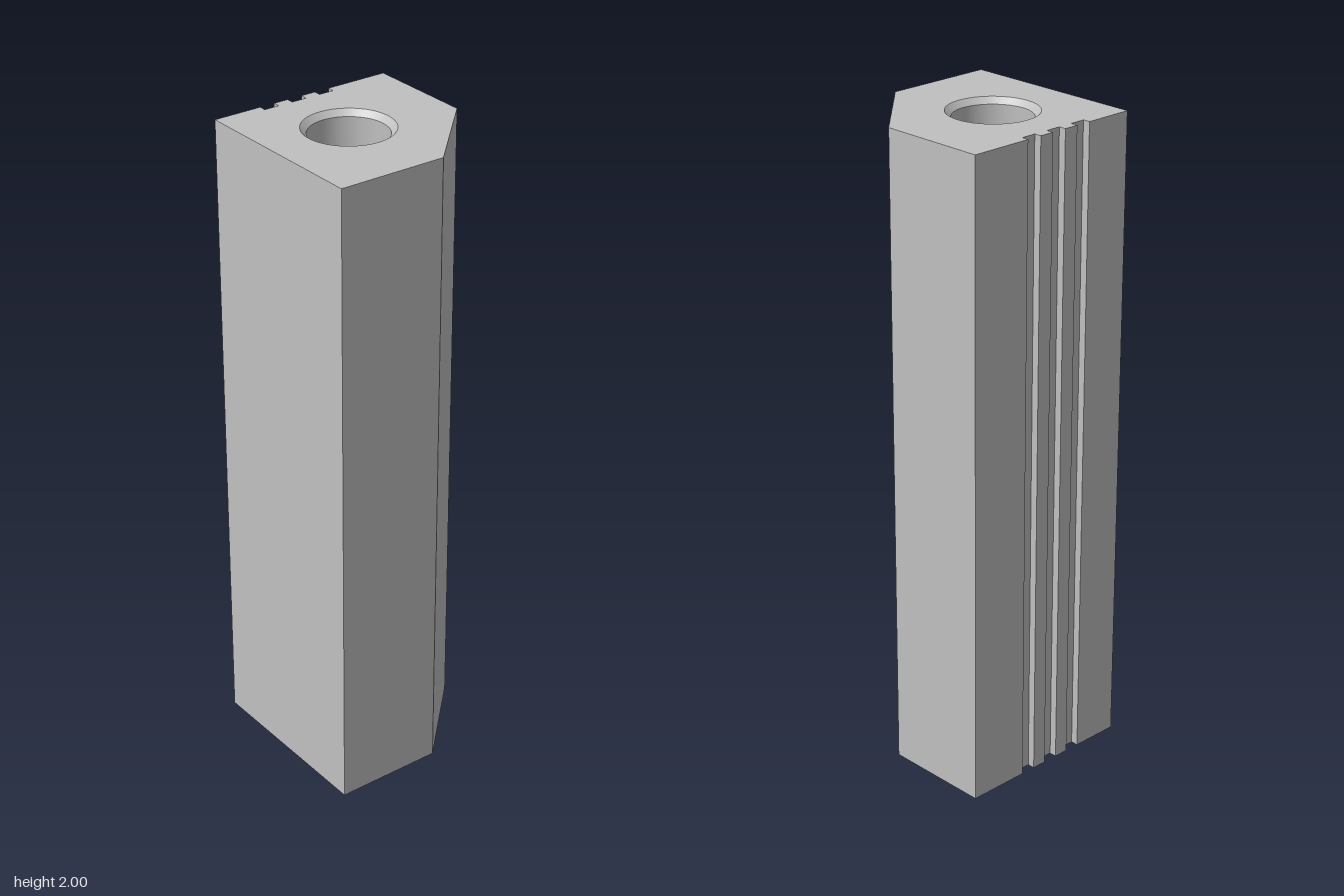
import * as THREE from 'three';

const HEIGHT = 2;
const HOLE = { x: -0.03, z: 0.028, rim: 0.136, bore: 0.118, depth: 0.5 };
const SEGMENTS = 64;

// Plan outline as [x, z], counter-clockwise seen from above
function makeOutline() {
  const left = -0.295, back = -0.295, right = 0.294, front = 0.294;
  const points = [[left, back]];
  // Three square grooves down the -x side
  for (const z of [-0.097, -0.002, 0.093]) {
    points.push([left, z], [-0.272, z], [-0.272, z + 0.048], [left, z + 0.048]);
  }
  points.push([left, front], [right, front], [right, -0.047], [0.046, back]);
  return points;
}

// Flat end with the round hole cut out; sign flips z for the top
function endFace(outline, sign) {
  const shape = new THREE.Shape(outline.map(([x, z]) => new THREE.Vector2(x, z * sign)));
  shape.holes.push(new THREE.Path().absarc(HOLE.x, HOLE.z * sign, HOLE.rim, 0, Math.PI * 2));
  return new THREE.ShapeGeometry(shape, SEGMENTS / 2).rotateX(sign * Math.PI / 2);
}

// One upright quad for each outline edge
function sideWalls(outline) {
  const positions = [];
  outline.forEach(([ax, az], i) => {
    const [bx, bz] = outline[(i + 1) % outline.length];
    positions.push(ax, 0, az, bx, 0, bz, bx, HEIGHT, bz);
    positions.push(ax, 0, az, bx, HEIGHT, bz, ax, HEIGHT, az);
  });
  const geometry = new THREE.BufferGeometry();
  geometry.setAttribute('position', new THREE.Float32BufferAttribute(positions, 3));
  geometry.computeVertexNormals();
  return geometry;
}

export function createModel() {
  const group = new THREE.Group();
  group.name = 'groovedBlock';
  const steel = new THREE.MeshStandardMaterial({ color: 0xc0c0c0 });
  steel.name = 'light grey';

  const add = (parent, name, geometry) => {
    const mesh = new THREE.Mesh(geometry, steel);
    mesh.name = name;
    parent.add(mesh);
    return mesh;
  };

  const outline = makeOutline();
  add(group, 'sideWalls', sideWalls(outline));
  add(group, 'topFace', endFace(outline, -1)).position.y = HEIGHT;
  add(group, 'bottomFace', endFace(outline, 1));

  // Blind drilled hole at each end: chamfer, straight bore, conical tip
  const { rim, bore, depth } = HOLE;
  const profile = [[rim, 0], [bore, bore - rim], [bore, -depth], [0, -depth - 0.07]]
    .map(([r, y]) => new THREE.Vector2(r, y));
  for (const end of ['top', 'bottom']) {
    const hole = new THREE.Group();
    hole.name = end + 'Hole';
    ['Chamfer', 'Bore', 'Tip'].forEach((part, i) => {
      add(hole, end + part, new THREE.LatheGeometry([profile[i], profile[i + 1]], SEGMENTS));
    });
    hole.position.set(HOLE.x, end === 'top' ? HEIGHT : 0, HOLE.z);
    if (end === 'bottom') hole.rotation.x = Math.PI;
    group.add(hole);
  }
  return group;
}
